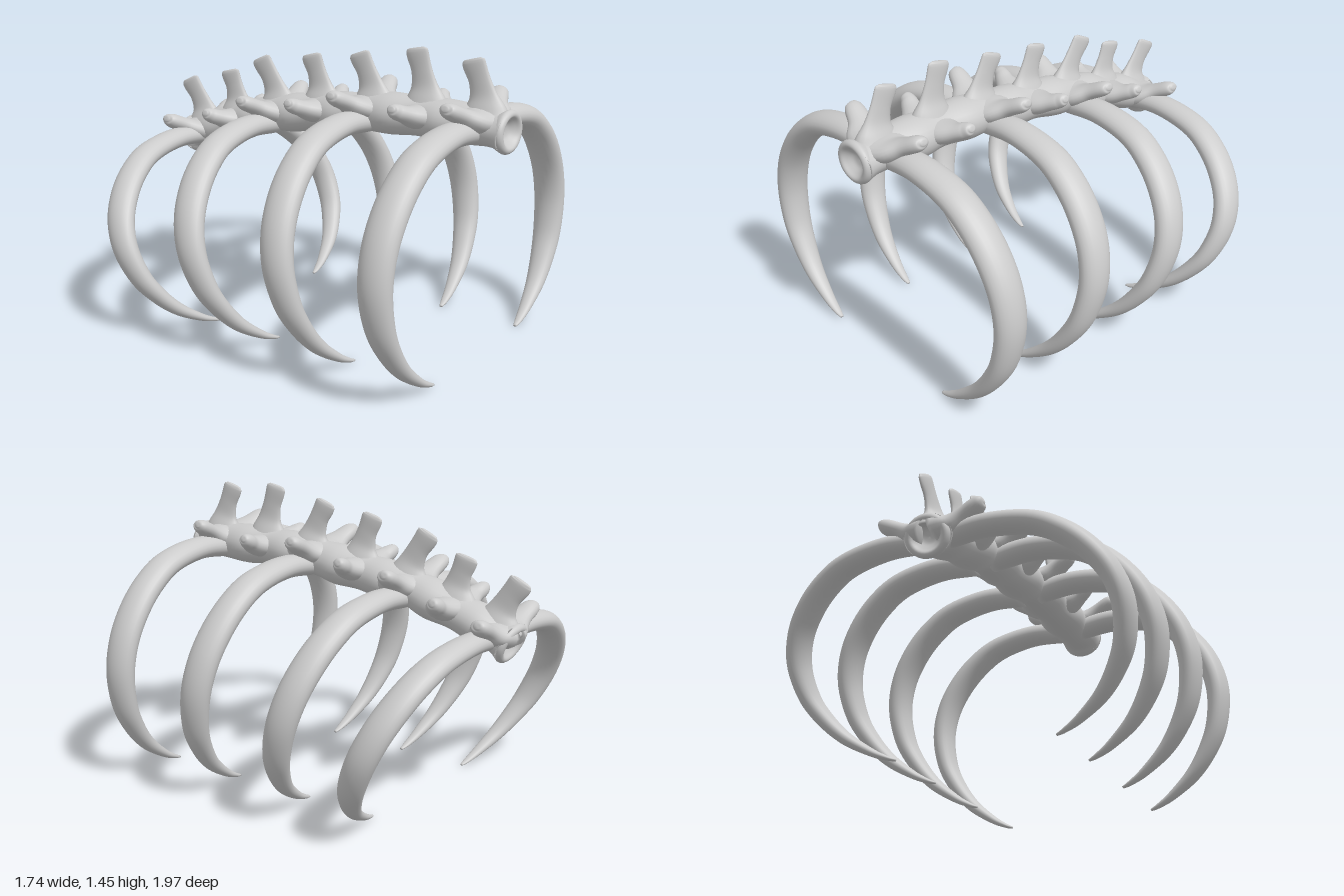
import * as THREE from 'three';

const V = (x, y, z) => new THREE.Vector3(x, y, z);
const material = new THREE.MeshStandardMaterial({ color: 0xcccccc });

// Smooth elliptical sweep. Rows are [x, y, z, radius along wide axis, radius across it].
function sweep(name, rows, wide, steps = 32, sides = 20) {
  const path = new THREE.CatmullRomCurve3(rows.map(r => V(r[0], r[1], r[2])), false, 'catmullrom');
  const radii = new THREE.CatmullRomCurve3(rows.map(r => V(r[3], r[4], 0)), false, 'catmullrom');
  const pos = [], idx = [];
  const ring = (t, k) => {
    const p = path.getPoint(t), r = radii.getPoint(t), tan = path.getTangent(t);
    const w = wide.clone().addScaledVector(tan, -wide.dot(tan)).normalize();
    const n = tan.clone().cross(w);
    for (let j = 0; j < sides; j++) {
      const a = (j / sides) * Math.PI * 2;
      const q = p.clone()
        .addScaledVector(w, Math.cos(a) * Math.max(r.x, 0.002) * k)
        .addScaledVector(n, Math.sin(a) * Math.max(r.y, 0.002) * k);
      pos.push(q.x, q.y, q.z);
    }
  };
  // the first and last rings shrink to close the ends
  ring(0, 0.01);
  for (let i = 0; i <= steps; i++) ring(i / steps, 1);
  ring(1, 0.01);
  for (let i = 0; i < steps + 2; i++) {
    for (let j = 0; j < sides; j++) {
      const a = i * sides + j, b = i * sides + (j + 1) % sides;
      idx.push(a, b, a + sides, b, b + sides, a + sides);
    }
  }
  const geo = new THREE.BufferGeometry();
  geo.setAttribute('position', new THREE.Float32BufferAttribute(pos, 3));
  geo.setIndex(idx);
  geo.computeVertexNormals();
  const mesh = new THREE.Mesh(geo, material);
  mesh.name = name;
  return mesh;
}

const X = V(1, 0, 0), Z = V(0, 0, 1);

// Vertebral column: [z, y, half width, half height]
const SPINE = [
  [0.975, 1.115, 0.113, 0.098], [0.92, 1.12, 0.108, 0.082], [0.81, 1.125, 0.1, 0.092],
  [0.66, 1.125, 0.122, 0.1], [0.52, 1.125, 0.1, 0.092], [0.37, 1.12, 0.122, 0.1],
  [0.21, 1.105, 0.1, 0.09], [0.07, 1.085, 0.12, 0.1], [-0.07, 1.065, 0.1, 0.09],
  [-0.21, 1.045, 0.118, 0.097], [-0.35, 1.02, 0.1, 0.087], [-0.47, 0.985, 0.117, 0.097],
  [-0.6, 0.945, 0.1, 0.085], [-0.73, 0.905, 0.117, 0.092], [-0.83, 0.865, 0.105, 0.08],
  [-0.885, 0.842, 0.12, 0.098],
];

// Vertebra processes: [side z, side y, blade base z, y, blade tip z, y, large]
const VERTEBRAE = [
  [0.81, 1.235, 0.86, 1.16, 0.785, 1.425, 1],
  [0.52, 1.19, 0.55, 1.16, 0.49, 1.445, 0],
  [0.2, 1.215, 0.26, 1.14, 0.17, 1.39, 1],
  [-0.07, 1.14, -0.045, 1.1, -0.115, 1.352, 0],
  [-0.35, 1.12, -0.32, 1.05, -0.435, 1.3, 1],
  [-0.6, 1.02, -0.585, 0.98, -0.645, 1.212, 0],
  [-0.85, 0.96, -0.815, 0.9, -0.93, 1.135, 1],
];

// Rib profile: [x, height 0..1, depth radius, thickness radius]
const RIB = [
  [0.04, 0.985, 0.07, 0.055], [0.25, 1, 0.078, 0.056], [0.46, 0.965, 0.083, 0.058],
  [0.6, 0.89, 0.085, 0.06], [0.71, 0.785, 0.086, 0.06], [0.785, 0.66, 0.084, 0.059],
  [0.814, 0.52, 0.08, 0.058], [0.79, 0.37, 0.073, 0.053], [0.73, 0.255, 0.062, 0.046],
  [0.64, 0.15, 0.048, 0.036], [0.52, 0.065, 0.031, 0.022], [0.44, 0.025, 0.019, 0.012],
  [0.4, 0.011, 0.009, 0.006],
];

// Rib pairs: [top z, top y, tip z, width scale, thickness scale]
const RIBS = [
  [0.815, 1.12, 0.86, 1, 1],
  [0.24, 1.09, 0.43, 1, 0.98],
  [-0.325, 1, -0.02, 0.985, 0.95],
  [-0.81, 0.872, -0.4, 0.985, 0.88],
];

// Hollow joint face at an end of the column
function cup(z, y, pitch) {
  const profile = [[0.001, -0.03], [0.035, -0.024], [0.062, -0.004], [0.08, 0.014], [0.095, 0.016],
    [0.107, 0.008], [0.112, -0.008], [0.1, -0.035]].map(p => new THREE.Vector2(p[0], p[1]));
  const curve = new THREE.SplineCurve(profile).getPoints(28).reverse();
  const mesh = new THREE.Mesh(new THREE.LatheGeometry(curve, 32), material);
  mesh.name = 'jointFace';
  mesh.scale.set(1, 1, 0.9);
  mesh.rotation.x = pitch;
  mesh.position.set(0, y, z);
  return mesh;
}

function createModel() {
  const model = new THREE.Group();
  model.name = 'ribCage';

  // column, left open in the middle of each end by the cups
  const spine = sweep('spine', SPINE.map(([z, y, w, h]) => [0, y, z, w, h]), X, 90, 28);
  const p = spine.geometry.attributes.position;
  for (let j = 0; j < 28; j++) {
    p.setZ(j, 0.93);
    p.setZ(p.count - 28 + j, -0.84);
  }
  spine.geometry.computeVertexNormals();
  model.add(spine, cup(0.98, 1.115, Math.PI / 2), cup(-0.89, 0.838, -Math.PI / 2 - 0.4));

  for (const [sz, sy, bz, by, tz, ty, large] of VERTEBRAE) {
    const vertebra = new THREE.Group();
    vertebra.name = 'vertebra';
    const at = (k, m) => [0, by + (ty - by) * k, bz + (tz - bz) * m];
    // upright blade, flared at the foot and swept back
    vertebra.add(sweep('spinousProcess', [
      [...at(0, 0), 0.125, 0.075], [...at(0.2, 0.08), 0.1, 0.05], [...at(0.4, 0.22), 0.07, 0.027],
      [...at(0.65, 0.5), 0.056, 0.019], [...at(0.88, 0.86), 0.06, 0.017],
      [...at(0.96, 0.96), 0.058, 0.014], [...at(1, 1), 0.042, 0.008],
    ], Z));
    // side wings
    const e = large ? 0.262 : 0.24, g = large ? 1 : 0.85;
    const drop = large ? 0.07 : 0.045;
    for (const s of [1, -1]) {
      vertebra.add(sweep('transverseProcess', [
        [s * 0.03, sy - drop - 0.015, sz + 0.03 * g, 0.125 * g, 0.065],
        [s * 0.1, sy - drop, sz + 0.025 * g, 0.1 * g, 0.053],
        [s * 0.16, sy - drop * 0.55, sz + 0.01, 0.062 * g, 0.04],
        [s * (e - 0.04), sy - 0.008, sz - 0.005, 0.048 * g, 0.037],
        [s * (e - 0.012), sy + 0.006, sz - 0.01, 0.036 * g, 0.027],
        [s * e, sy + 0.01, sz - 0.01, 0.014, 0.011],
      ], Z, 24));
    }
    model.add(vertebra);
  }

  // curved ribs, mirrored in pairs and leaning more towards the back
  for (const [z0, y0, z1, wide, thick] of RIBS) {
    const pair = new THREE.Group();
    pair.name = 'ribPair';
    for (const s of [1, -1]) {
      pair.add(sweep(s > 0 ? 'leftRib' : 'rightRib', RIB.map(([x, h, a, b]) => {
        const bow = -0.02 * Math.sin(Math.PI * Math.min(1, Math.max(0, h)));
        const f = 0.4 + (x - 0.4) * wide;
        return [s * (x < 0.4 ? x : f), h * y0, z1 + (z0 - z1) * h + bow, a * thick, b * thick];
      }), Z, 72, 24));
    }
    model.add(pair);
  }
  return model;
}

export { createModel };
